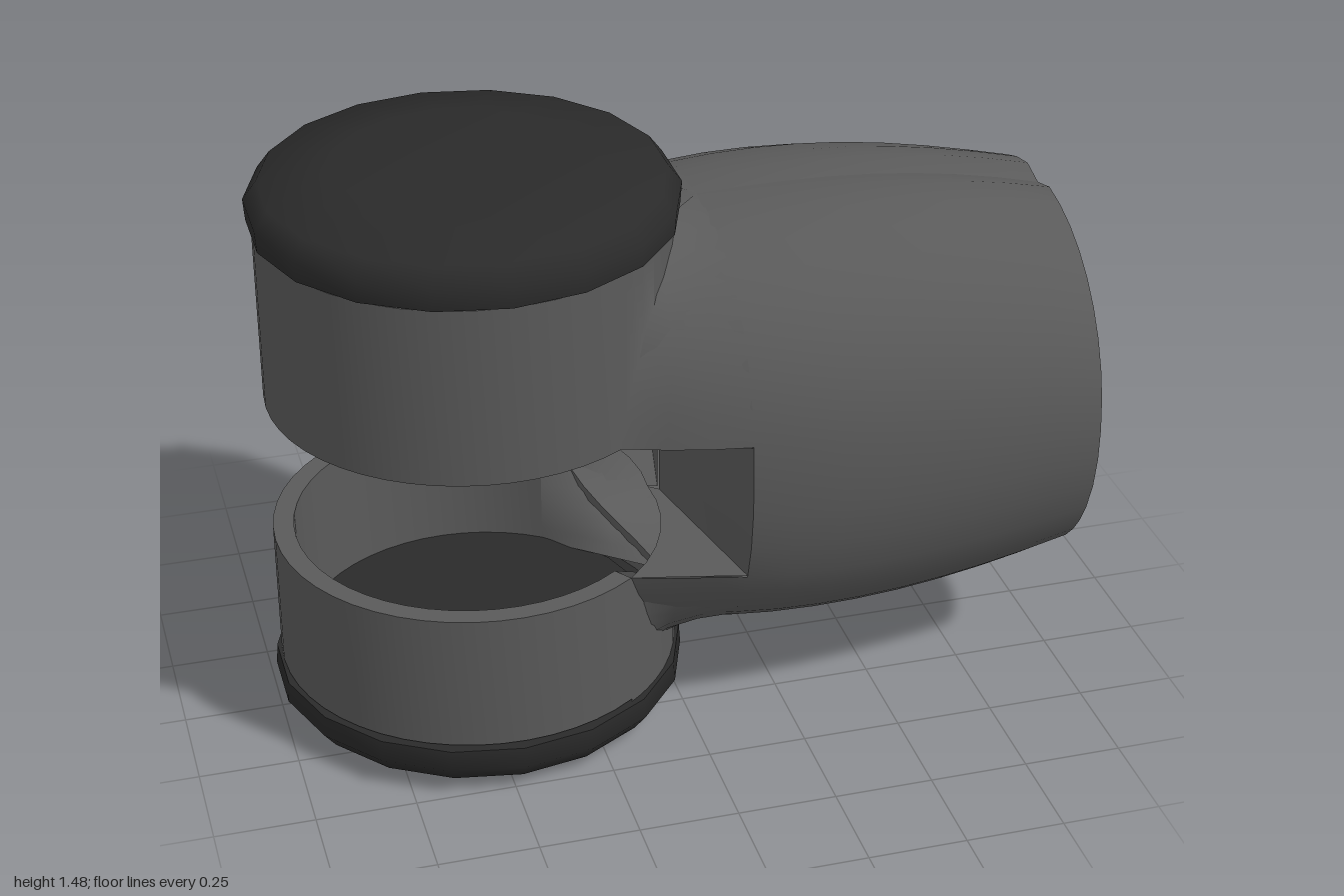
import * as THREE from 'three';
import { mergeGeometries, toCreasedNormals } from 'three/addons/utils/BufferGeometryUtils.js';

const HINGE_X = -0.48, CUP_R = 0.507, CUP_IN = 0.455, MID_Y = 0.76;
const SLOT_LOW = 0.5, SLOT_HIGH = 0.88;
const TOP = Math.PI / 2;
const { lerp, clamp, smoothstep } = THREE.MathUtils;

// Barrel radii along x
const radiusY = x => 0.572 - (x > 0.42 ? 0.22 : 0.12) * (Math.max(x, 0) - 0.42) ** 2;
const radiusZ = x => 0.532 - (x > 0.35 ? 0.095 : 0.33) * (x - 0.35) ** 2;

// Squareness of the section: full at the shoulders (more so behind), round at the mouth
const power = (x, side) => lerp(side > 0 ? 2.35 : 2.8, 2.1, smoothstep(x, 0.1, 1));

// Point on the barrel, with a groove along the top and bottom seams
function barrelPoint(x, angle, side) {
  const c = Math.abs(Math.cos(angle)), s = Math.sin(angle), n = power(x, side);
  let r = (c ** n + Math.abs(s) ** n) ** (-1 / n);
  if (c < 0.01) r *= 1 - 0.05 * clamp(x, 0, 1);
  return [x, MID_Y + radiusY(x) * s * r, side * radiusZ(x) * c * r];
}

// Section angle at which the shoulder reaches a height
function angleAt(y, side) {
  const t = (y - MID_Y) / radiusY(0), n = power(0, side);
  return Math.atan2(t, (1 - Math.abs(t) ** n) ** (1 / n));
}

// Point where the barrel runs into the hinge cylinder
function meet(angle, side) {
  let x = -0.1;
  for (let i = 0; i < 40; i++) {
    const z = barrelPoint(x, angle, side)[2];
    x = HINGE_X + Math.sqrt(CUP_R ** 2 - z * z);
  }
  return barrelPoint(x, angle, side);
}

// Surface patch from a rule point(u, v); flip turns it over
function patch(nu, nv, point, flip = false) {
  const pos = [], index = [];
  for (let i = 0; i <= nu; i++)
    for (let j = 0; j <= nv; j++) pos.push(...point(i / nu, j / nv));
  for (let i = 0; i < nu; i++)
    for (let j = 0; j < nv; j++) {
      const a = i * (nv + 1) + j, b = a + 1, c = a + nv + 1, d = c + 1;
      index.push(...(flip ? [a, c, b, b, c, d] : [a, b, c, b, d, c]));
    }
  const g = new THREE.BufferGeometry();
  g.setAttribute('position', new THREE.Float32BufferAttribute(pos, 3));
  g.setIndex(index);
  g.computeVertexNormals();
  return g;
}

export function createModel() {
  const model = new THREE.Group();
  const bodyMat = new THREE.MeshStandardMaterial({ color: 0x5a5a5a, side: THREE.DoubleSide });
  const capMat = new THREE.MeshStandardMaterial({ color: 0x2a2a2a });
  const add = (name, geometry, material = bodyMat) => {
    const mesh = new THREE.Mesh(geometry, material);
    mesh.name = name;
    model.add(mesh);
  };

  for (const side of [1, -1]) {
    const half = side > 0 ? 'Front' : 'Back';
    const flip = side < 0;
    const seamZ = side > 0 ? 0.02 : 0.005;
    const low = angleAt(SLOT_LOW, side), high = angleAt(SLOT_HIGH, side);
    const arms = [
      { name: 'upper', from: high, to: TOP, edge: high, ledgeY: SLOT_HIGH, y0: SLOT_HIGH, y1: 1.34, capY: 1.354 },
      { name: 'lower', from: -TOP, to: low, edge: low, ledgeY: SLOT_LOW, y0: 0.14, y1: SLOT_LOW, capY: 0.126 },
    ];

    // Barrel half with shoulders and collars that run into both hinge arms
    const shell = [[-TOP, low, 9], [low, high, 4], [high, TOP, 9]].map(([a, b, n]) =>
      patch(n, 8, (u, v) => barrelPoint(lerp(0.1, 1, v), lerp(a, b, u), side), flip));
    for (const arm of arms) {
      shell.push(patch(9, 3, (u, v) => {
        const angle = lerp(arm.from, arm.to, u);
        return barrelPoint(lerp(meet(angle, side)[0], 0.1, v), angle, side);
      }, flip));
      shell.push(patch(9, 1, (u, v) => {
        const p = meet(lerp(arm.from, arm.to, u), side);
        return [p[0], lerp(p[1], arm.capY, v), p[2]];
      }, flip !== (arm.name === 'upper')));
    }
    add('barrel' + half, toCreasedNormals(mergeGeometries(shell), 1.2));

    // Slanted wall at the end of the slot
    add('slotWall' + half, patch(4, 2, (u, v) => {
      const p = barrelPoint(0.1, lerp(low, high, u), side);
      return [lerp(0, 0.1, v), lerp(lerp(SLOT_LOW, SLOT_HIGH, u), p[1], v), lerp(seamZ, p[2], v)];
    }, !flip));

    for (const arm of arms) {
      const start = Math.asin(Math.abs(meet(arm.edge, side)[2]) / CUP_R);
      const height = arm.y1 - arm.y0;

      // Hollow hinge cup, open toward the barrel
      const ring = new THREE.Shape();
      ring.absarc(0, 0, CUP_R, start, Math.PI, false);
      ring.absarc(0, 0, CUP_IN, Math.PI, start, true);
      const cup = new THREE.ExtrudeGeometry(ring, { depth: height, bevelEnabled: false, curveSegments: 9 });
      cup.rotateX(-Math.PI / 2);
      if (side > 0) { // swing the half round to the front
        cup.rotateX(Math.PI);
        cup.translate(0, height, 0);
      }
      cup.translate(HINGE_X, arm.y0, 0);
      add(arm.name + 'Cup' + half, toCreasedNormals(cup, 0.6));

      // Lining that carries the cup's inner wall into the barrel
      const innerX = HINGE_X + CUP_IN * Math.cos(start), innerZ = side * CUP_IN * Math.sin(start);
      const far = arm.name === 'upper' ? TOP : -TOP;
      add(arm.name + 'Lining' + half, patch(8, 4, (u, v) => {
        const p = barrelPoint(0.1, lerp(arm.edge, far, u), side);
        const y = lerp(arm.ledgeY, arm.name === 'upper' ? arm.y1 : arm.y0, u);
        return [lerp(innerX, p[0], v), lerp(y, p[1], v), lerp(innerZ, p[2], v)];
      }, flip));

      // Flat ledge between the cup's rim and the slot wall
      const corner = barrelPoint(0.1, arm.edge, side);
      add(arm.name + 'Ledge' + half, patch(6, 1, (u, v) => {
        const a = start * (1 - u), r = lerp(CUP_R, CUP_IN, u);
        const x = HINGE_X + r * Math.cos(a), z = side * r * Math.sin(a);
        return [lerp(x, corner[0] * (1 - u), v), arm.ledgeY, lerp(z, lerp(corner[2], seamZ, u), v)];
      }, flip));
    }
  }

  // Rounded end caps with a short plug that sits in the cup
  const profile = [[0, -0.02], [0.47, -0.02], [0.47, 0], [0.52, 0], [0.524, 0.055],
    [0.49, 0.1], [0.31, 0.129], [0, 0.132]].map(p => new THREE.Vector2(...p));
  for (const top of [true, false]) {
    const cap = new THREE.LatheGeometry(profile, 18);
    if (!top) cap.rotateX(Math.PI);
    cap.translate(HINGE_X, top ? 1.348 : 0.132, 0.007);
    add(top ? 'upperCap' : 'lowerCap', toCreasedNormals(cap, 0.8), capMat);
  }
  return model;
}
